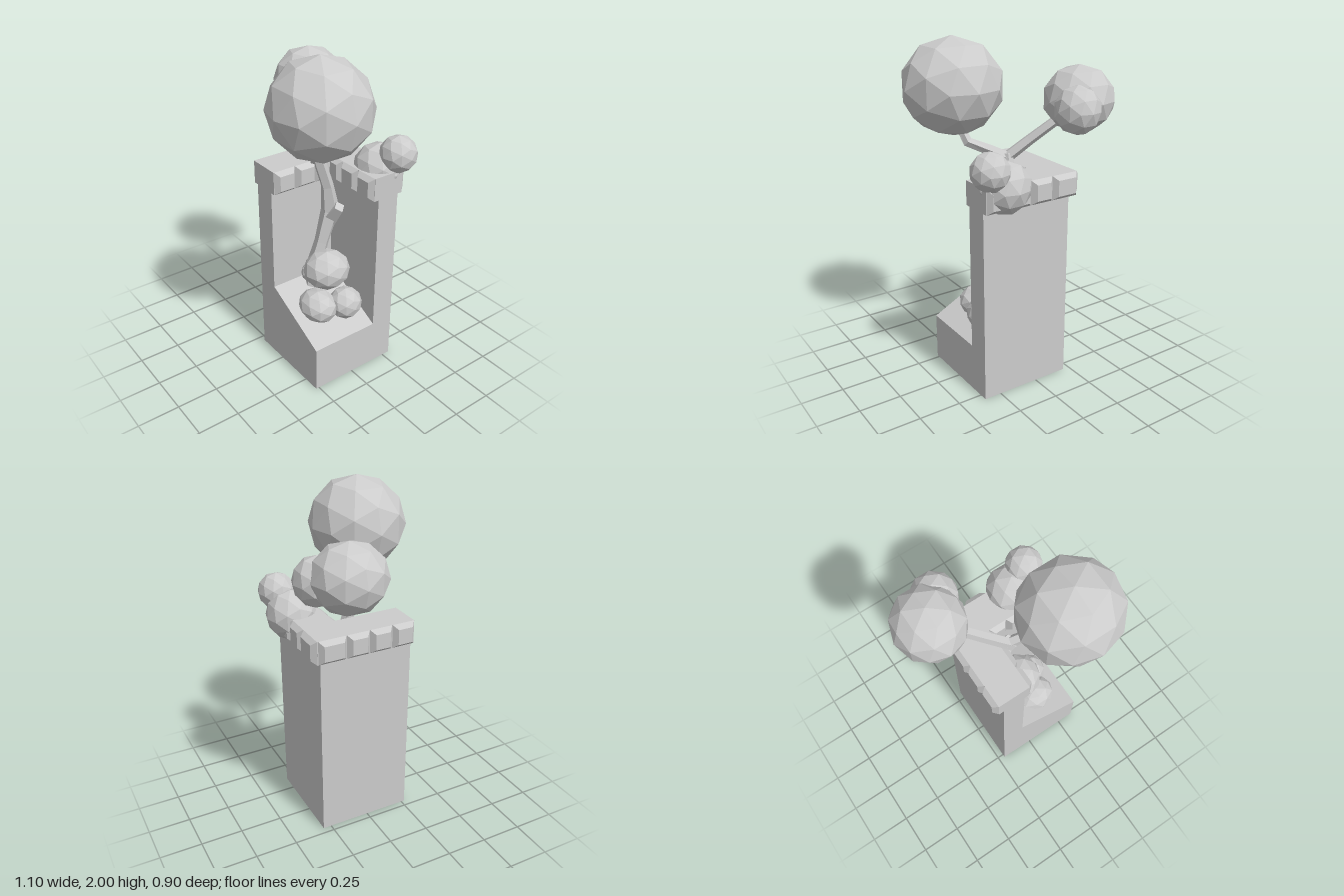
import * as THREE from 'three';

const grey = new THREE.MeshStandardMaterial({ color: 0xcccccc, flatShading: true });

function add(parent, name, geometry) {
  const mesh = new THREE.Mesh(geometry, grey);
  mesh.name = name;
  parent.add(mesh);
  return mesh;
}

// Faceted limb through [x, y, z, radius] points, closed at both ends
function limb(points, sides = 5) {
  const centres = points.map(p => new THREE.Vector3(p[0], p[1], p[2]));
  const up = new THREE.Vector3(0, 1, 0);
  const pos = [], index = [];
  centres.forEach((c, i) => {
    const before = centres[Math.max(i - 1, 0)];
    const after = centres[Math.min(i + 1, centres.length - 1)];
    const q = new THREE.Quaternion().setFromUnitVectors(up, after.clone().sub(before).normalize());
    for (let s = 0; s < sides; s++) {
      const a = s / sides * Math.PI * 2, r = points[i][3];
      const v = new THREE.Vector3(Math.cos(a) * r, 0, -Math.sin(a) * r).applyQuaternion(q).add(c);
      pos.push(v.x, v.y, v.z);
    }
  });
  for (let i = 0; i < centres.length - 1; i++) {
    for (let s = 0; s < sides; s++) {
      const a = i * sides + s, b = i * sides + (s + 1) % sides;
      index.push(a, b, b + sides, a, b + sides, a + sides);
    }
  }
  const last = (centres.length - 1) * sides;
  for (let s = 1; s < sides - 1; s++) {
    index.push(0, s + 1, s, last, last + s, last + s + 1);
  }
  const g = new THREE.BufferGeometry();
  g.setAttribute('position', new THREE.Float32BufferAttribute(pos, 3));
  g.setIndex(index);
  g.computeVertexNormals();
  return g;
}

// Block whose +z face is inset on all sides
function brickGeometry(width, height, depth, inset) {
  const g = new THREE.BoxGeometry(width, height, depth).translate(0, 0, depth / 2);
  const p = g.attributes.position;
  for (let i = 0; i < p.count; i++) {
    if (p.getZ(i) > depth / 2) {
      p.setX(i, p.getX(i) - Math.sign(p.getX(i)) * inset);
      p.setY(i, p.getY(i) - Math.sign(p.getY(i)) * inset);
    }
  }
  g.computeVertexNormals();
  return g;
}

function polygon(points) {
  return new THREE.Shape(points.map(p => new THREE.Vector2(p[0], p[1])));
}

export function createModel() {
  const model = new THREE.Group();
  model.name = 'towerWithTree';

  // Tower: sloped base with left wall, then the full-height back wall
  const tower = new THREE.Group();
  tower.name = 'tower';
  model.add(tower);
  const front = polygon([[-0.21, 0], [0.355, 0], [0.355, 0.285], [-0.07, 0.5], [-0.07, 1.2], [-0.21, 1.2]]);
  add(tower, 'baseAndLeftWall',
    new THREE.ExtrudeGeometry(front, { depth: 0.43, bevelEnabled: false }).translate(0, 0, -0.16));
  add(tower, 'backWall', new THREE.BoxGeometry(0.565, 1.2, 0.14).translate(0.0725, 0.6, -0.23));

  // L-shaped coping on the walls (shape y is -z)
  const coping = polygon([[-0.24, -0.27], [-0.04, -0.27], [-0.04, 0.13], [0.355, 0.13], [0.355, 0.33], [-0.24, 0.33]]);
  add(tower, 'coping', new THREE.ExtrudeGeometry(coping, { depth: 0.14, bevelEnabled: false })
    .rotateX(-Math.PI / 2).translate(0, 1.14, 0));

  // Bevelled bricks along the four coping faces
  const bricks = new THREE.Group();
  bricks.name = 'copingBricks';
  tower.add(bricks);
  const pitch = 0.1415;
  const brick = (x, z, turn, width = pitch) => {
    const b = add(bricks, 'brick', brickGeometry(width - 0.004, 0.14, 0.03, 0.024));
    b.position.set(x, 1.21, z);
    b.rotation.y = turn;
  };
  for (let i = 0; i < 4; i++) {
    const extra = i === 3 ? 0.03 : 0; // corner bricks run to the corner
    const z = 0.27 - pitch * (i + 0.5) - extra / 2;
    const x = 0.355 - pitch * (i + 0.5) - extra / 2;
    brick(-0.24, z, -Math.PI / 2, pitch + extra);
    brick(x, -0.33, Math.PI, pitch + extra);
    if (i < 3) {
      const cut = i === 2 ? 0.03 : 0;
      brick(-0.04, z + cut / 2, Math.PI / 2, pitch - cut);
      brick(x + cut / 2, -0.13, 0, pitch - cut);
    }
  }

  // Tree
  const tree = new THREE.Group();
  tree.name = 'tree';
  model.add(tree);
  add(tree, 'trunk', limb([
    [-0.02, 0.44, 0.02, 0.06], [-0.012, 0.6, 0.005, 0.052], [0, 0.75, -0.035, 0.045],
    [0.005, 0.95, -0.095, 0.058], [0.012, 1.12, -0.065, 0.038], [0.005, 1.34, 0.005, 0.036]]));
  add(tree, 'brokenStub', limb([[0.01, 0.9, -0.09, 0.055], [0.085, 1.0, -0.1, 0.036]], 4));
  add(tree, 'leftBranch', limb([
    [0.02, 1.3, 0.02, 0.036], [-0.11, 1.42, -0.06, 0.032], [-0.23, 1.53, -0.14, 0.03], [-0.3, 1.62, -0.18, 0.02]]));
  add(tree, 'rightBranch', limb([
    [-0.01, 1.31, 0, 0.036], [0.1, 1.37, 0.04, 0.032], [0.21, 1.42, 0.09, 0.03], [0.25, 1.55, 0.15, 0.025]]));

  // Faceted foliage: name, centre, radii
  const clumps = [
    ['crown', [0.253, 1.725, 0.168], [0.292, 0.277, 0.282]],
    ['sideCrown', [-0.347, 1.65, -0.195], [0.203, 0.192, 0.21]],
    ['sideCrownSmall', [-0.24, 1.62, -0.32], [0.132, 0.138, 0.133]],
    ['wallBush', [0.21, 1.255, -0.28], [0.15, 0.15, 0.15]],
    ['wallBushSmall', [0.322, 1.368, -0.32], [0.11, 0.11, 0.11]],
    ['floorBushTop', [0.09, 0.607, -0.005], [0.133, 0.122, 0.145]],
    ['floorBushFront', [0.14, 0.412, 0.1], [0.13, 0.1, 0.112]],
    ['floorBushBack', [0.21, 0.41, -0.055], [0.1, 0.1, 0.105]],
    ['floorBushRoot', [-0.01, 0.55, 0.03], [0.06, 0.07, 0.07]]
  ];
  for (const [name, centre, radii] of clumps) {
    const g = new THREE.IcosahedronGeometry(1, 1).rotateY(Math.PI / 2).scale(...radii);
    g.computeVertexNormals();
    add(model, name, g).position.set(...centre);
  }
  return model;
}
